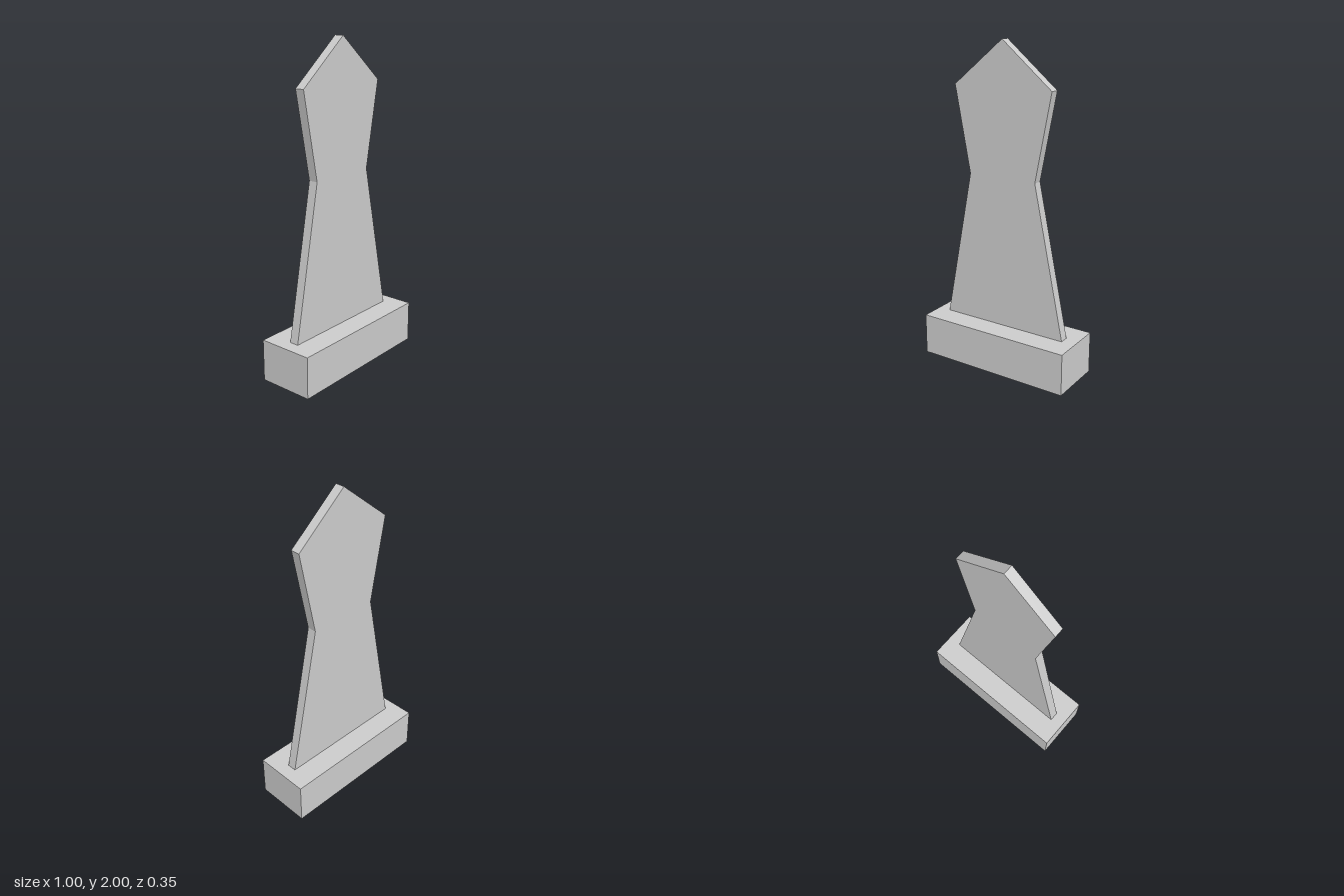
import * as THREE from 'three';

export function createModel() {
  const group = new THREE.Group();
  const material = new THREE.MeshStandardMaterial({ color: 0xcccccc, flatShading: true });

  // Rectangular plinth
  const baseHeight = 0.26;
  const base = new THREE.Mesh(new THREE.BoxGeometry(1, baseHeight, 0.35), material);
  base.name = 'base';
  base.position.y = baseHeight / 2;
  group.add(base);

  // Thin waisted plaque with a pointed top, standing on the plinth
  const outline = [
    [-0.42, baseHeight], [0.415, baseHeight], [0.217, 1.2], [0.32, 1.73],
    [-0.007, 2], [-0.34, 1.73], [-0.237, 1.2],
  ].map(([x, y]) => new THREE.Vector2(x, y));
  const thickness = 0.059;
  const plaque = new THREE.Mesh(
    new THREE.ExtrudeGeometry(new THREE.Shape(outline), { depth: thickness, bevelEnabled: false }),
    material
  );
  plaque.name = 'plaque';
  plaque.position.z = -0.031;
  group.add(plaque);

  return group;
}
